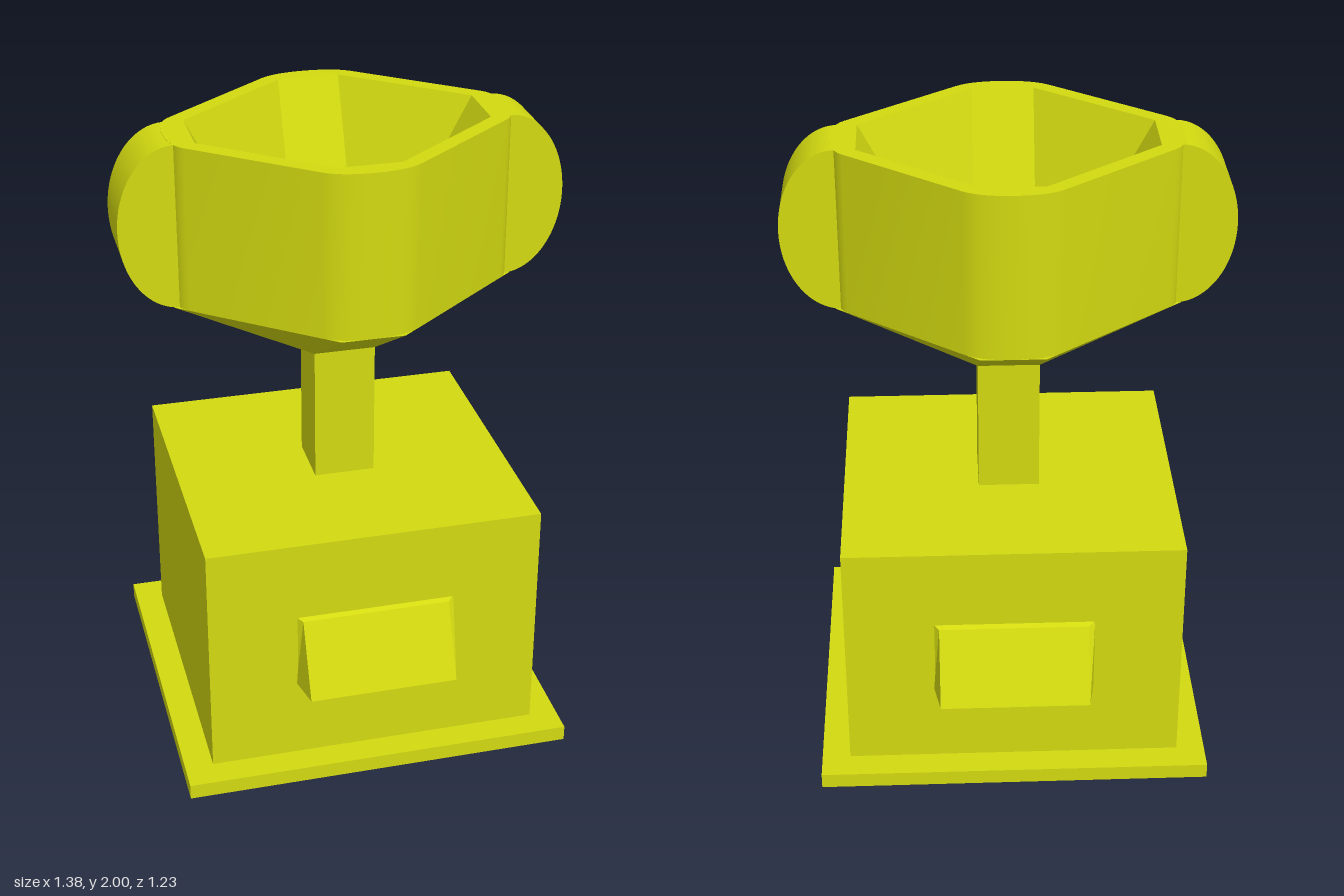
import * as THREE from 'three';
import { toCreasedNormals } from 'three/addons/utils/BufferGeometryUtils.js';

const S = 0.097; // half width of the stem, repeated in every bowl ring and the handles
const MATERIAL = new THREE.MeshStandardMaterial({ color: 0xd3da10 });

// Eight-cornered outline with half sizes a (x) and b (z)
const octagon = (a, b) => [[a, S], [S, b], [-S, b], [-a, S], [-a, -S], [-S, -b], [S, -b], [a, -S]]
  .map(([x, z]) => new THREE.Vector2(x, z));

// Octagon with its corners softened
function softOctagon() {
  const s = new THREE.Shape();
  s.moveTo(0.53, 0);
  for (const [sx, sz] of [[1, 1], [-1, 1], [-1, -1], [1, -1]]) {
    const long = [[0.53, 0], [0.53, S], [0.49, 0.129]];
    const short = [[0.145, 0.407], [S, 0.445], [0, 0.445]];
    const pts = [...long, ...short].map(([x, z]) => [x * sx, z * sz]);
    if (sx * sz < 0) pts.reverse();
    s.quadraticCurveTo(...pts[1], ...pts[2]);
    s.lineTo(...pts[3]);
    s.quadraticCurveTo(...pts[4], ...pts[5]);
  }
  const points = s.getPoints(6);
  return points.filter((p, i) => p.distanceTo(points[(i + 1) % points.length]) > 1e-5);
}

// Band of faces from one ring to the next; listing the upper ring first turns it inward
function loft(ringA, yA, ringB, yB, crease) {
  const pos = [];
  const n = ringA.length;
  for (let i = 0; i < n; i++) {
    const j = (i + 1) % n;
    const at = (ring, y, k) => new THREE.Vector3(ring[k].x, y, ring[k].y);
    const a = at(ringA, yA, i), b = at(ringB, yB, i), c = at(ringA, yA, j), d = at(ringB, yB, j);
    for (const tri of [[a, b, c], [b, d, c]]) {
      if (new THREE.Triangle(...tri).getArea() > 1e-8) tri.forEach((v) => pos.push(v.x, v.y, v.z));
    }
  }
  const g = new THREE.BufferGeometry();
  g.setAttribute('position', new THREE.Float32BufferAttribute(pos, 3));
  g.computeVertexNormals();
  return toCreasedNormals(g, crease);
}

// Flat upward-facing sheet, optionally with a hole
function sheet(outer, y, hole) {
  const s = new THREE.Shape(outer);
  if (hole) s.holes.push(new THREE.Path(hole));
  return new THREE.ShapeGeometry(s).rotateX(-Math.PI / 2).translate(0, y, 0);
}

// Box standing between two heights
const block = (w, d, y0, y1) => new THREE.BoxGeometry(w, y1 - y0, d).translate(0, (y0 + y1) / 2, 0);

// Sloping plaque: a box whose outer face is narrowed and tilted
function plaqueGeometry() {
  const g = new THREE.BoxGeometry(1, 1, 1).toNonIndexed();
  const p = g.attributes.position;
  for (let i = 0; i < p.count; i++) {
    const outer = p.getZ(i) > 0, top = p.getY(i) > 0;
    const x = Math.sign(p.getX(i)) * (outer ? 0.235 : 0.255);
    const y = top ? (outer ? 0.56 : 0.57) : (outer ? 0.33 : 0.318);
    p.setXYZ(i, x, y, outer ? (top ? 0.51 : 0.613) : 0.49);
  }
  g.computeVertexNormals();
  return g;
}

// Solid half-oval handle
function handleGeometry() {
  const s = new THREE.Shape();
  s.moveTo(0.47, 1.48);
  s.lineTo(0.51, 1.48);
  s.absellipse(0.51, 1.74, 0.18, 0.26, -Math.PI / 2, Math.PI / 2, false);
  s.lineTo(0.47, 2);
  const g = new THREE.ExtrudeGeometry(s, { depth: 2 * S, bevelEnabled: false, curveSegments: 32 });
  return toCreasedNormals(g.translate(0, 0, -S), 0.5);
}

export function createModel() {
  const model = new THREE.Group();
  const add = (name, geometry, parent = model) => {
    const mesh = new THREE.Mesh(geometry, MATERIAL);
    mesh.name = name;
    parent.add(mesh);
    return mesh;
  };

  // Pedestal and stem
  add('basePlate', block(1.244, 1.17, 0, 0.05));
  add('pedestal', block(1.064, 0.99, 0.05, 0.83));
  add('stem', block(2 * S, 2 * S, 0.83, 1.27));

  // Bowl: flared underside, upright wall, rim and tapering cavity
  const bowl = new THREE.Group();
  bowl.name = 'bowl';
  model.add(bowl);
  const square = octagon(S, S), sharp = octagon(0.53, 0.445), mouth = octagon(0.45, 0.383);
  const soft = softOctagon();
  add('bowlUnderside', loft(square, 1.27, sharp, 1.48, 0.05), bowl);
  add('bowlLedge', sheet(sharp, 1.48, mouth), bowl);
  add('bowlWall', loft(soft, 1.48, soft, 2, 0.6), bowl);
  add('bowlRim', sheet(soft, 2, mouth), bowl);
  add('bowlCavity', loft(mouth, 2, square, 1.33, 0.05), bowl);
  add('bowlFloor', new THREE.PlaneGeometry(2 * S, 2 * S).rotateX(-Math.PI / 2).translate(0, 1.33, 0), bowl);

  // Paired parts, the second turned half way round
  const plaque = plaqueGeometry(), handle = handleGeometry();
  add('frontPlaque', plaque);
  add('backPlaque', plaque).rotation.y = Math.PI;
  add('leftHandle', handle);
  add('rightHandle', handle).rotation.y = Math.PI;

  return model;
}
